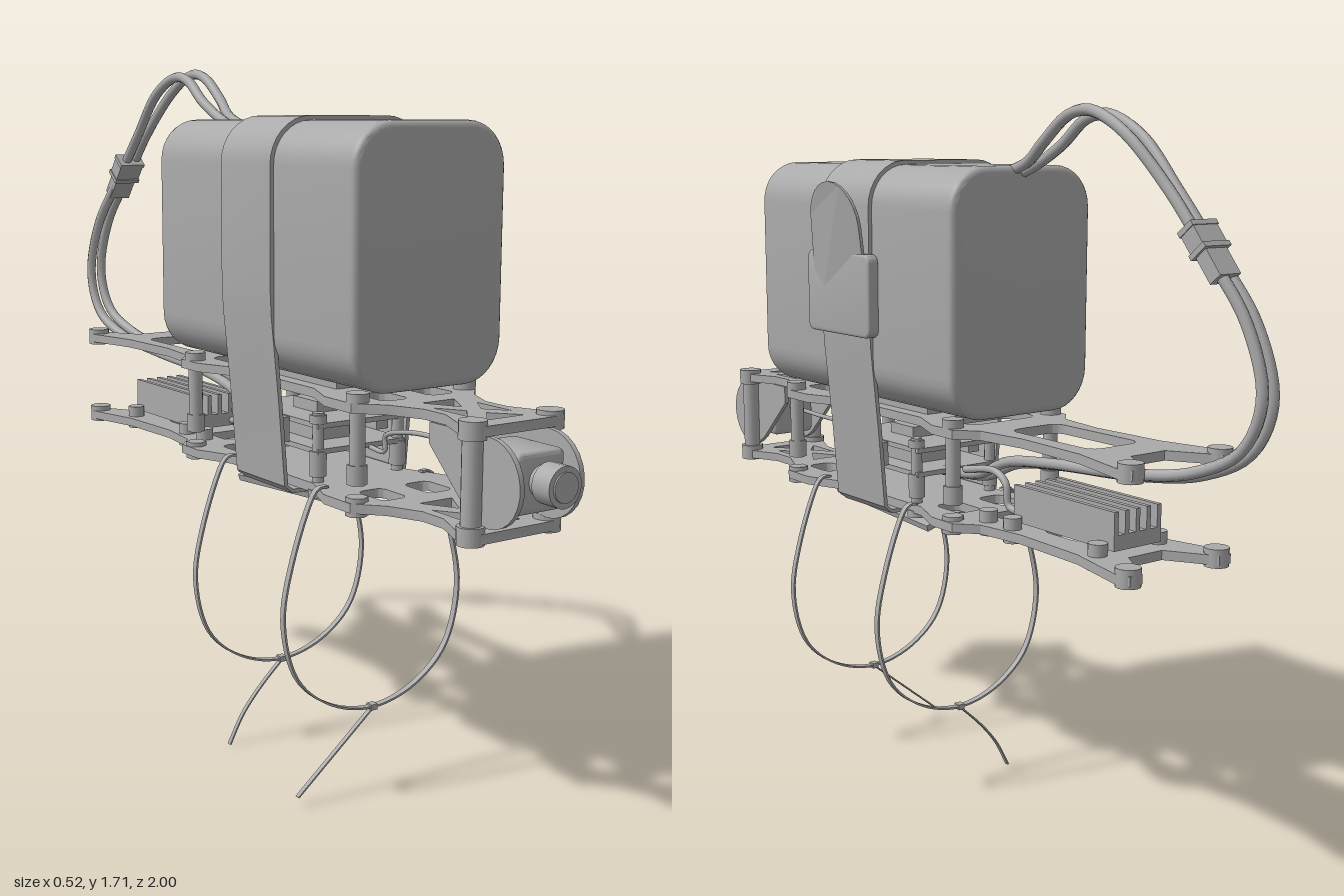
import * as THREE from 'three';
import { toCreasedNormals } from 'three/addons/utils/BufferGeometryUtils.js';

const CX = -0.005; // centre line of the frame

export function createModel() {
  const model = new THREE.Group();
  const grey = new THREE.MeshStandardMaterial({ color: 0xaaaaaa, side: THREE.DoubleSide });
  grey.name = 'grey';

  const add = (name, geo, x = 0, y = 0, z = 0) => {
    const m = new THREE.Mesh(geo, grey);
    m.name = name;
    m.position.set(x, y, z);
    model.add(m);
    return m;
  };
  const box = (name, w, h, d, x, y, z) => add(name, new THREE.BoxGeometry(w, h, d), x, y, z);
  const post = (name, r, y0, y1, x, z, sides = 16) =>
    add(name, new THREE.CylinderGeometry(r, r, y1 - y0, sides), x, (y0 + y1) / 2, z);
  const v2 = (p) => new THREE.Vector2(p[0], p[1]);
  const path = (pts) => new THREE.Path(pts.map(v2));
  const smooth = (pts, n) => new THREE.SplineCurve(pts.map(v2)).getPoints(n).map((p) => [p.x, p.y]);
  const extrude = (shape, depth, bevel = 0) => toCreasedNormals(new THREE.ExtrudeGeometry(shape, {
    depth, curveSegments: 10, bevelEnabled: bevel > 0, bevelSize: bevel, bevelThickness: bevel,
    bevelOffset: -bevel, bevelSegments: 3 }), 0.6);
  const arc = (cx, cy, r, a0, a1, n = 8) => Array.from({ length: n + 1 }, (_, i) => {
    const a = a0 + (a1 - a0) * i / n;
    return [cx + r * Math.cos(a), cy + r * Math.sin(a)];
  });
  const roundRect = (x0, y0, x1, y1, r) => [
    ...arc(x1 - r, y0 + r, r, -Math.PI / 2, 0), ...arc(x1 - r, y1 - r, r, 0, Math.PI / 2),
    ...arc(x0 + r, y1 - r, r, Math.PI / 2, Math.PI), ...arc(x0 + r, y0 + r, r, Math.PI, Math.PI * 1.5)];

  // A band of thickness t that follows points in x,y and runs from z0 to z1
  const ribbon = (pts, z0, z1, t) => {
    const side = (s) => pts.map((p, i) => {
      const a = pts[Math.max(i - 1, 0)], b = pts[Math.min(i + 1, pts.length - 1)];
      const dx = b[0] - a[0], dy = b[1] - a[1], l = Math.hypot(dx, dy) || 1;
      return new THREE.Vector2(p[0] - s * dy / l * t / 2, p[1] + s * dx / l * t / 2);
    });
    const g = extrude(new THREE.Shape([...side(1), ...side(-1).reverse()]), z1 - z0);
    return g.translate(0, 0, z0);
  };
  const tube = (name, pts, r, n = 48) => add(name, new THREE.TubeGeometry(
    new THREE.CatmullRomCurve3(pts.map((p) => new THREE.Vector3(...p))), n, r, 8));

  // Frame plates: one half outline (x, z) mirrored, with truss and slot holes
  const half = [[0.05, -0.685], [0.105, -0.775], [0.115, -0.795], [0.15, -0.795], [0.16, -0.76],
    [0.122, -0.6], [0.113, -0.4], [0.13, -0.27], [0.175, -0.22], [0.175, -0.14], [0.135, -0.04],
    [0.135, 0.32], [0.175, 0.42], [0.175, 0.52], [0.12, 0.58], [0.085, 0.66], [0.085, 0.73],
    [0.12, 0.81], [0.12, 0.86], [0.1, 0.87]];
  const outline = [...half, ...half.map(([x, z]) => [-x, z]).reverse()];
  const trussHoles = [
    [[-0.045, 0.6], [0.045, 0.6], [0, 0.68]],
    [[-0.05, 0.82], [0.05, 0.82], [0, 0.76]],
    [[0.06, 0.66], [0.06, 0.77], [0.02, 0.72]],
    [[-0.06, 0.66], [-0.06, 0.77], [-0.02, 0.72]],
    roundRect(-0.1, 0.44, -0.03, 0.54, 0.02),
    roundRect(0.03, 0.44, 0.1, 0.54, 0.02)];
  const plate = (name, yTop, holes) => {
    const s = new THREE.Shape(outline.map(v2));
    [...trussHoles, ...holes].forEach((h) => s.holes.push(path(h)));
    add(name, extrude(s, 0.022).rotateX(Math.PI / 2), CX, yTop, 0);
  };
  plate('topPlate', 0.98, [roundRect(-0.075, -0.585, 0.07, -0.3, 0.03),
    roundRect(-0.1, -0.2, 0.1, -0.08, 0.03), roundRect(-0.08, 0.05, 0.08, 0.35, 0.03)]);
  plate('bottomPlate', 0.757, [roundRect(-0.05, -0.3, 0.05, -0.2, 0.02),
    roundRect(-0.1, -0.15, -0.03, -0.05, 0.02), roundRect(0.03, -0.15, 0.1, -0.05, 0.02),
    roundRect(-0.05, -0.52, 0.05, -0.4, 0.02)]);

  // Standoffs, screws and nuts on both sides
  for (const s of [-1, 1]) {
    const at = (x) => CX + s * x;
    post('frontStandoff', 0.022, 0.74, 0.99, at(0.105), 0.84);
    post('rearTopScrew', 0.028, 0.95, 0.992, at(0.132), -0.77);
    post('rearBottomScrew', 0.028, 0.728, 0.77, at(0.132), -0.77);
    for (const y of [0.73, 0.95]) post('frontCollar', 0.03, y, y + 0.04, at(0.105), 0.84);
    for (const z of [0.51, -0.19]) {
      post('middleStandoff', 0.018, 0.8, 0.98, at(0.15), z);
      post('standoffFoot', 0.023, 0.795, 0.84, at(0.15), z, 6);
      post('standoffCap', 0.026, 0.975, 1.0, at(0.15), z);
      post('standoffNut', 0.026, 0.725, 0.768, at(0.15), z, 6);
    }
    for (const z of [0.31, 0.005]) {
      post('stackPost', 0.014, 0.73, 0.92, at(0.115), z);
      post('stackSpacer', 0.02, 0.77, 0.83, at(0.115), z, 6);
      post('stackNut', 0.02, 0.895, 0.915, at(0.115), z, 6);
      post('stackScrew', 0.024, 0.722, 0.74, at(0.115), z);
    }
    for (const z of [-0.25, -0.34, -0.63]) post('plateScrew', 0.022, 0.725, 0.785, at(0.09), z);
    box('sideConnector', 0.035, 0.06, 0.1, at(0.145), 0.865, 0.16);
  }

  // Electronics stack
  box('lowerBoard', 0.25, 0.012, 0.34, CX, 0.83, 0.155);
  box('upperBoard', 0.25, 0.012, 0.34, CX, 0.89, 0.155);
  box('boardChip', 0.1, 0.03, 0.1, CX, 0.908, 0.16);
  box('lowerChip', 0.14, 0.03, 0.16, CX, 0.85, 0.16);

  // Finned transmitter at the rear
  box('heatSinkBase', 0.14, 0.035, 0.34, CX, 0.785, -0.49);
  for (let i = 0; i < 5; i++) box('heatSinkFin', 0.012, 0.06, 0.34, CX + (i - 2) * 0.032, 0.825, -0.49);

  // Camera with its two side brackets
  const bracket = new THREE.Shape([[0.68, 0.957], [0.68, 0.91], [0.8, 0.795],
    ...arc(0.87, 0.862, 0.095, -2.3, Math.PI / 2, 16)].map(v2));
  for (const x of [-0.08, 0.082]) {
    add('cameraBracket', extrude(bracket, 0.012).rotateY(-Math.PI / 2), x, 0, 0);
  }
  add('cameraBody', extrude(new THREE.Shape(roundRect(-0.065, -0.065, 0.065, 0.065, 0.015).map(v2)), 0.13, 0.012),
    CX, 0.865, 0.79);
  const barrel = (name, r, z0, z1) => add(name,
    new THREE.CylinderGeometry(r, r, z1 - z0, 24).rotateX(Math.PI / 2), CX, 0.868, (z0 + z1) / 2);
  barrel('lensBase', 0.034, 0.93, 0.96);
  barrel('lens', 0.044, 0.95, 1.0);
  barrel('lensGlass', 0.032, 0.99, 1.004);
  tube('cameraWire', [[0, 0.88, 0.8], [0.03, 0.885, 0.6], [0.03, 0.88, 0.45], [0.02, 0.86, 0.38],
    [0.02, 0.825, 0.38], [0.02, 0.825, 0.32]], 0.006);

  // Battery pack
  add('battery', extrude(new THREE.Shape(roundRect(-0.212, 1.0, 0.202, 1.58, 0.1).map(v2)), 0.8, 0.015),
    0, 0, -0.245);
  box('batteryPad', 0.2, 0.03, 0.38, CX, 0.992, 0.17);

  // Strap around the battery and the plates, with buckle and loose end
  const H = Math.PI / 2;
  const strap = [[0, 0.73], [0.15, 0.73], [0.168, 0.745], [0.185, 0.95], [0.204, 1.14], [0.207, 1.2],
    ...arc(0.103, 1.481, 0.104, 0, H), ...arc(-0.113, 1.481, 0.104, H, 2 * H),
    [-0.217, 1.2], [-0.214, 1.14], [-0.195, 0.95], [-0.178, 0.745], [-0.16, 0.73], [0, 0.73]];
  add('strap', ribbon(strap, 0.055, 0.265, 0.01));
  const buckle = new THREE.Shape(roundRect(0.03, 1.17, 0.3, 1.37, 0.02).map(v2));
  add('buckle', extrude(buckle, 0.022, 0.005).rotateY(-H), 0.227, 0, 0);
  // Loose end: a round-tipped tongue bent outward with height
  const tongue = new THREE.Shape([[0.06, 1.17], [0.27, 1.17], [0.27, 1.27], [0.27, 1.37],
    [0.27, 1.43], ...arc(0.165, 1.435, 0.105, 0, Math.PI, 14), [0.06, 1.37], [0.06, 1.27]].map(v2));
  const tongueGeo = extrude(tongue, 0.008).rotateY(-H);
  const tp = tongueGeo.attributes.position;
  for (let i = 0; i < tp.count; i++) {
    const k = Math.max(0, tp.getY(i) - 1.3);
    tp.setX(i, tp.getX(i) + 0.222 + k * 0.08 + k * k * 0.25);
  }
  tongueGeo.computeVertexNormals();
  add('strapEnd', tongueGeo);

  // Curved, tilted pad under the frame
  const pad = add('bellyPad', ribbon(smooth([[-0.115, -0.012], [-0.06, 0.004], [0, 0.009],
    [0.06, 0.004], [0.115, -0.012]], 12), -0.205, 0.205, 0.016), CX, 0.722, 0.165);
  pad.rotation.x = -0.06;

  // Cable-tie loops with tails
  const loop = smooth([[0.13, 0.762], [0.17, 0.745], [0.225, 0.6], [0.25, 0.46], [0.215, 0.32],
    [0.12, 0.235], [-0.005, 0.203], [-0.13, 0.235], [-0.225, 0.32], [-0.26, 0.46],
    [-0.235, 0.6], [-0.18, 0.745], [-0.14, 0.762]], 72);
  const tails = [
    [0.375, [[0, 0.205], [-0.11, 0.115], [-0.22, 0.025]]],
    [-0.02, [[0, 0.205], [-0.07, 0.14], [-0.125, 0.075], [-0.165, 0.002]]]];
  for (const [z, tail] of tails) {
    add('cableTie', ribbon(loop, z - 0.008, z + 0.008, 0.005));
    add('cableTieTail', ribbon(smooth(tail, 16), z - 0.006, z + 0.006, 0.004));
    box('cableTieLock', 0.018, 0.014, 0.02, -0.005, 0.203, z);
  }

  // Two power leads looping from the battery back into the frame
  const lead = [[0, 1.56, -0.22], [0.005, 1.585, -0.3], [0.012, 1.63, -0.38], [0.014, 1.685, -0.46],
    [0.014, 1.695, -0.53], [0.01, 1.65, -0.63], [0, 1.54, -0.74], [-0.01, 1.42, -0.84],
    [-0.03, 1.28, -0.94], [-0.035, 1.13, -0.985], [-0.03, 1.02, -0.94], [-0.01, 0.96, -0.83],
    [0.01, 0.93, -0.66], [0.015, 0.91, -0.4], [0.005, 0.885, -0.24], [0, 0.835, -0.12], [0, 0.82, 0.02]];
  for (const s of [-1, 1]) {
    tube('powerLead', lead.map(([x, y, z], i) => {
      const gap = i < 2 ? 0.012 : i < 6 ? 0.026 : 0.016;
      return [x + s * gap, y + s * 0.004, z];
    }), 0.013, 96);
  }
  // Plug in the leads
  const plug = new THREE.Group();
  plug.name = 'plug';
  [[0.06, 0.034, 0.07, -0.035], [0.07, 0.042, 0.05, 0.03], [0.075, 0.05, 0.012, 0.0],
    [0.075, 0.046, 0.012, 0.055]].forEach(([w, h, d, z]) => {
    const m = new THREE.Mesh(new THREE.BoxGeometry(w, h, d), grey);
    m.name = 'plugPart';
    m.position.z = z;
    plug.add(m);
  });
  plug.position.set(-0.01, 1.42, -0.84);
  plug.rotation.x = Math.atan2(0.12, 0.1);
  plug.rotation.x = -plug.rotation.x;
  model.add(plug);
  // Short lead to the transmitter
  tube('transmitterLead', [[0.04, 0.85, -0.1], [0.04, 0.865, -0.22], [0.04, 0.84, -0.26],
    [0.04, 0.79, -0.27], [0.03, 0.78, -0.33]], 0.009, 24);

  return model;
}
